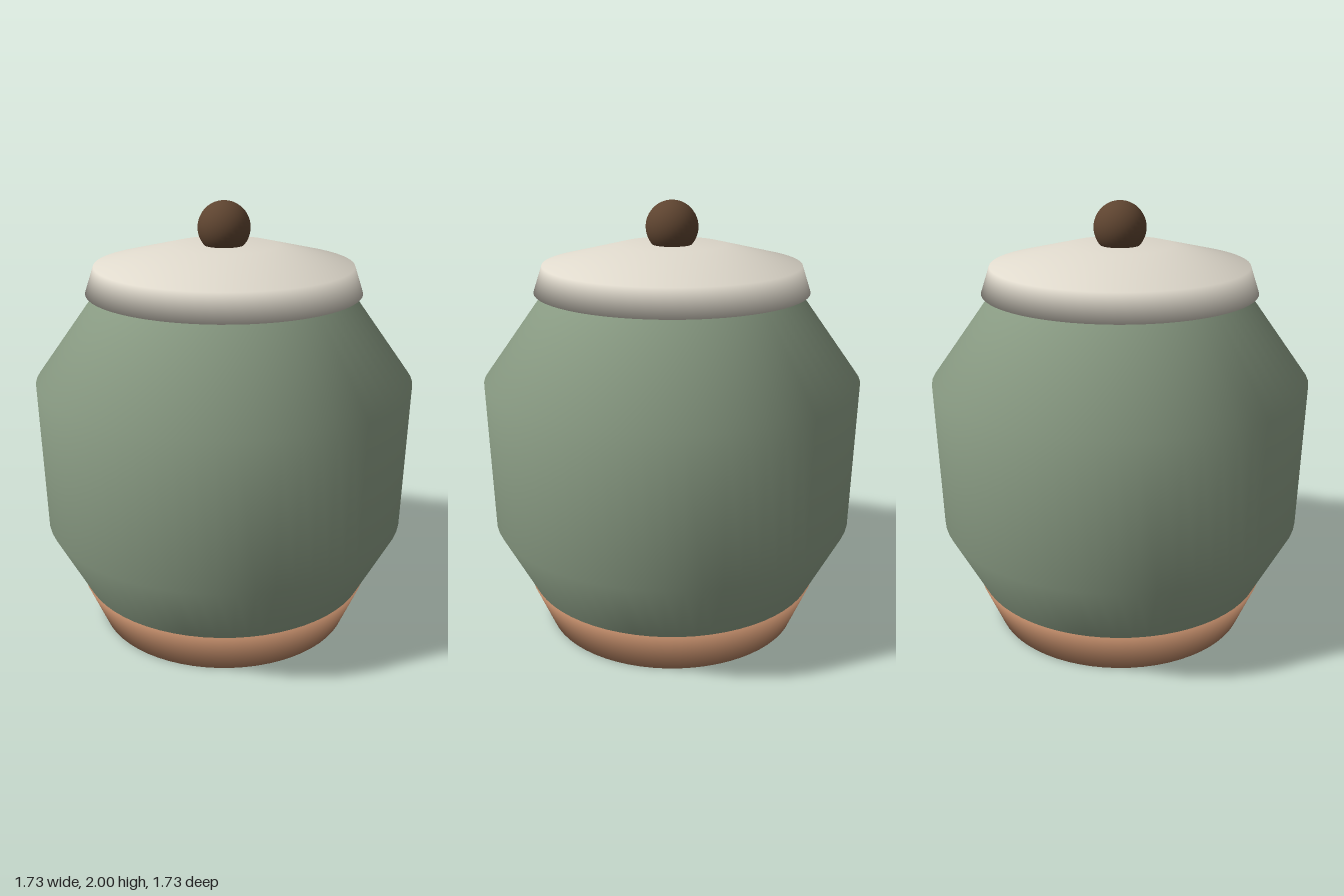
import * as THREE from 'three';

const material = (name, color) => {
  const m = new THREE.MeshStandardMaterial({ color });
  m.name = name;
  return m;
};

export function createModel() {
  const group = new THREE.Group();
  group.name = 'lidded jar';

  const green = material('sage glaze', 0x8a9c84);
  const clay = material('terracotta', 0xb48262);
  const cream = material('cream glaze', 0xe0dacd);
  const wood = material('dark wood', 0x5e4430);

  const add = (name, geometry, mat) => {
    const mesh = new THREE.Mesh(geometry, mat);
    mesh.name = name;
    group.add(mesh);
    return mesh;
  };

  // Smooth turned part; profile runs upward as [radius, height]
  const turned = (name, profile, mat) =>
    add(name, new THREE.LatheGeometry(profile.map(([r, y]) => new THREE.Vector2(r, y)), 64), mat);

  // Unglazed foot with closed bottom and top
  turned('base', [[0, 0], [0.6, 0], [0.69, 0.21], [0, 0.21]], clay);

  // Glazed belly: flared foot, near-straight wall, sloping shoulder
  turned('body', [[0.68, 0.205], [0.845, 0.52], [0.865, 1.2], [0.57, 1.61]], green);

  // Lid with overhanging skirt and shallow conical top
  turned('lid', [[0, 1.6], [0.625, 1.6], [0.585, 1.72], [0.24, 1.805], [0, 1.805]], cream);

  // Round handle
  add('knob', new THREE.SphereGeometry(0.118, 32, 24), wood).position.y = 1.882;

  return group;
}
